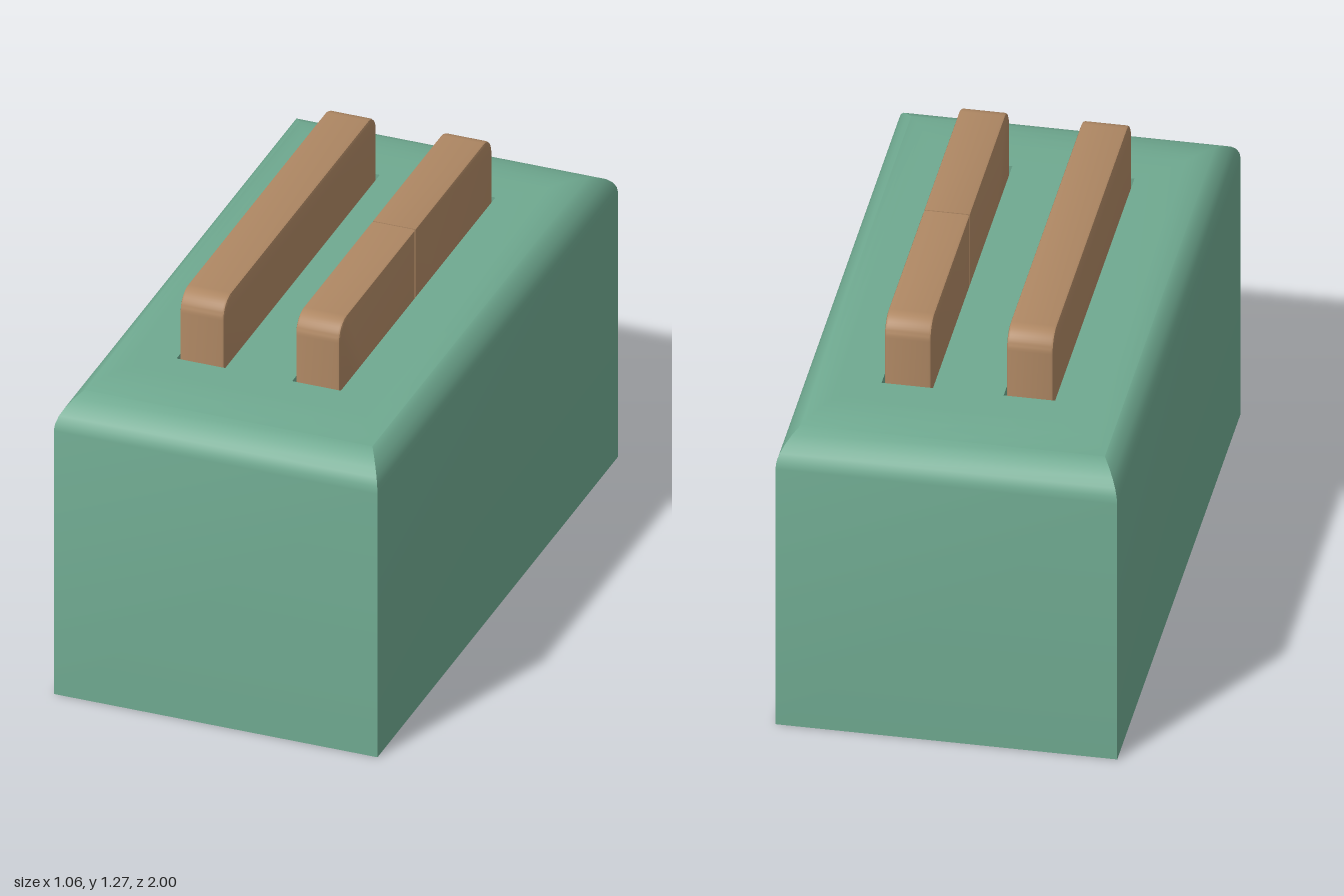
import * as THREE from 'three';
import { mergeGeometries, toCreasedNormals } from 'three/addons/utils/BufferGeometryUtils.js';

const SLOT = { x: 0.19, halfWidth: 0.08, halfLength: 0.642, floor: 0.3 };
const TOP = 1.045;

// Walls joining rectangular rings [halfX, halfZ, y]; descending rings face inward
function rectLoft(rings, cx = 0) {
  const corners = [[1, 1], [1, -1], [-1, -1], [-1, 1]];
  const point = ([hx, hz, y], i) => {
    const [sx, sz] = corners[i % 4];
    return [cx + sx * hx, y, sz * hz];
  };
  const pos = [];
  for (let r = 0; r < rings.length - 1; r++) {
    for (let i = 0; i < 4; i++) {
      const a = point(rings[r], i), b = point(rings[r], i + 1);
      const c = point(rings[r + 1], i + 1), d = point(rings[r + 1], i);
      pos.push(...a, ...b, ...c, ...a, ...c, ...d);
    }
  }
  const geo = new THREE.BufferGeometry();
  geo.setAttribute('position', new THREE.Float32BufferAttribute(pos, 3));
  return geo;
}

function trace(path, cx, hx, hz) {
  path.moveTo(cx - hx, -hz);
  path.lineTo(cx + hx, -hz);
  path.lineTo(cx + hx, hz);
  path.lineTo(cx - hx, hz);
  path.closePath();
  return path;
}

// Horizontal rectangular face, optionally pierced by the two slots
function flatFace(cx, hx, hz, y, { holes = false, down = false } = {}) {
  const shape = trace(new THREE.Shape(), cx, hx, hz);
  if (holes) {
    for (const s of [-1, 1]) {
      shape.holes.push(trace(new THREE.Path(), s * SLOT.x, SLOT.halfWidth, SLOT.halfLength));
    }
  }
  const geo = new THREE.ShapeGeometry(shape).toNonIndexed();
  geo.deleteAttribute('uv');
  geo.deleteAttribute('normal');
  geo.rotateX(down ? Math.PI / 2 : -Math.PI / 2);
  return geo.translate(0, y, 0);
}

// Housing: straight walls, elliptical top edge, pierced top and closed base
function bodyGeometry() {
  const rings = [[0.532, 1, 0]];
  const steps = 8;
  for (let i = 0; i <= steps; i++) {
    const a = (i / steps) * Math.PI / 2;
    rings.push([0.4 + 0.132 * Math.cos(a), 0.76 + 0.24 * Math.cos(a), 0.925 + 0.12 * Math.sin(a)]);
  }
  const parts = [
    rectLoft(rings),
    flatFace(0, 0.4, 0.76, TOP, { holes: true }),
    flatFace(0, 0.532, 1, 0, { down: true }),
  ];
  return toCreasedNormals(mergeGeometries(parts), 0.7);
}

// Inside walls and floor of one slot
function slotGeometry(cx) {
  const { halfWidth: w, halfLength: l, floor } = SLOT;
  return toCreasedNormals(mergeGeometries([
    rectLoft([[w, l, TOP], [w, l, floor]], cx),
    flatFace(cx, w, l, floor),
  ]), 0.7);
}

// Slice from z0 to z1, with top corner radii r0 and r1 at its two ends
function sliceGeometry(z0, z1, r0, r1) {
  const y0 = SLOT.floor + 0.01, y1 = 1.27, width = 0.145, bevel = 0.008;
  const s = new THREE.Shape();
  s.moveTo(z0, y0);
  s.lineTo(z1, y0);
  s.lineTo(z1, y1 - r1);
  if (r1) s.absarc(z1 - r1, y1 - r1, r1, 0, Math.PI / 2, false);
  else s.lineTo(z1, y1);
  s.lineTo(z0 + r0, y1);
  if (r0) s.absarc(z0 + r0, y1 - r0, r0, Math.PI / 2, Math.PI, false);
  else s.lineTo(z0, y1);
  s.closePath();
  const geo = new THREE.ExtrudeGeometry(s, {
    depth: width - 2 * bevel, curveSegments: 6,
    bevelSize: bevel, bevelThickness: bevel, bevelOffset: -bevel, bevelSegments: 2,
  });
  geo.translate(0, 0, bevel - width / 2);
  geo.rotateY(-Math.PI / 2);
  return toCreasedNormals(geo, 0.7);
}

export function createModel() {
  const model = new THREE.Group();
  const green = new THREE.MeshStandardMaterial({ color: 0x6fa990 });
  const brown = new THREE.MeshStandardMaterial({ color: 0xae8763 });

  const add = (name, geo, mat, x = 0) => {
    const mesh = new THREE.Mesh(geo, mat);
    mesh.name = name;
    mesh.position.x = x;
    model.add(mesh);
  };

  add('body', bodyGeometry(), green);
  add('leftSlot', slotGeometry(SLOT.x), green);
  add('rightSlot', slotGeometry(-SLOT.x), green);

  // One whole slice on the right, one cut into two halves on the left
  const end = 0.635, radius = 0.065, gap = 0.002;
  add('wholeSlice', sliceGeometry(-end, end, radius, radius), brown, -SLOT.x);
  add('frontHalfSlice', sliceGeometry(gap, end, 0, radius), brown, SLOT.x);
  add('backHalfSlice', sliceGeometry(-end, -gap, radius, 0), brown, SLOT.x);

  return model;
}
